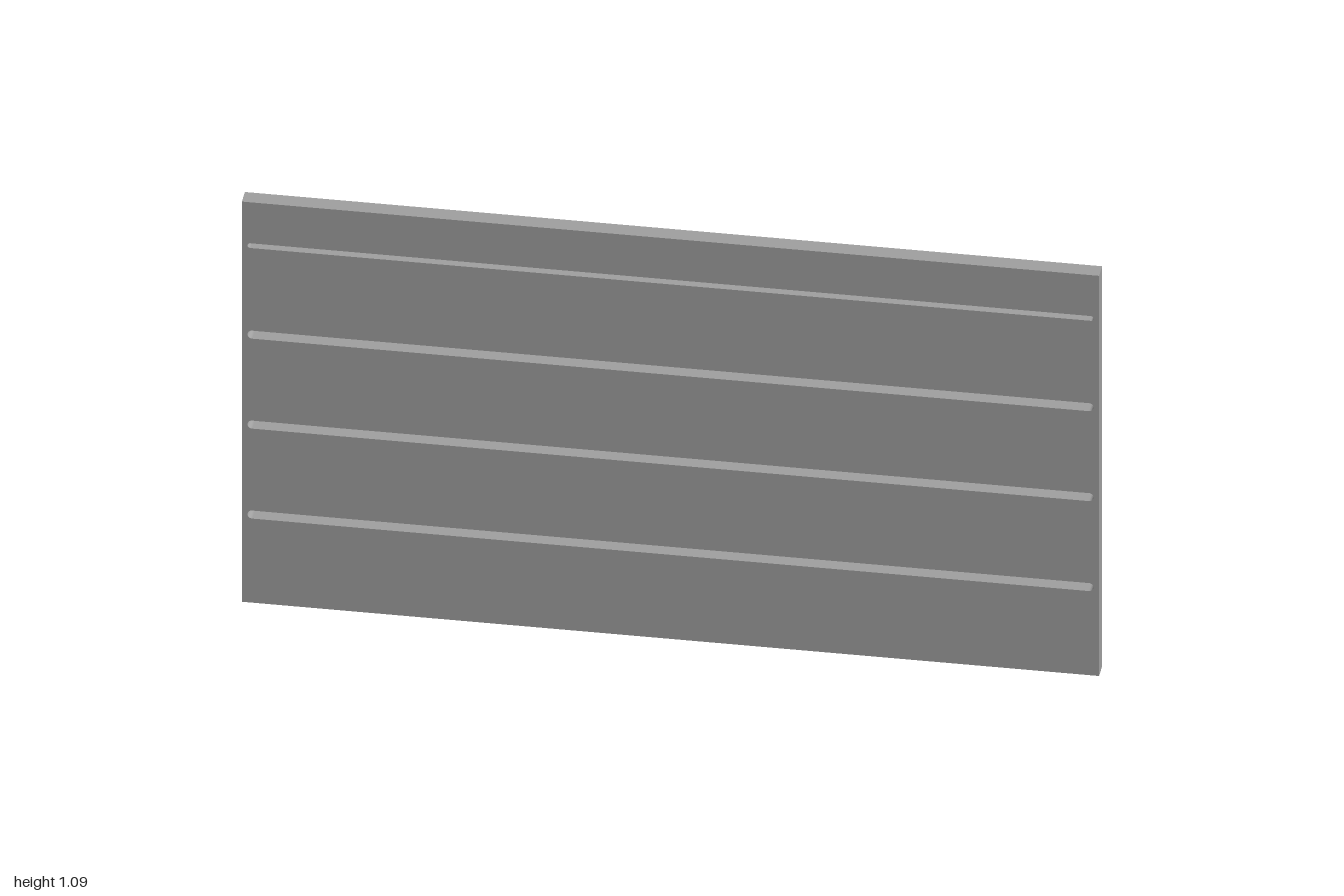
import * as THREE from 'three';

const WIDTH = 2, HEIGHT = 1.09, BACK = -0.021, STEP = -0.013, FRONT = 0.021;

// Round-ended slot outline, centred on x = 0
function slot(y, height, halfLength) {
  const r = height / 2, x = halfLength - r;
  const path = new THREE.Path();
  path.moveTo(-x, y - r);
  path.lineTo(x, y - r);
  path.absarc(x, y, r, -Math.PI / 2, Math.PI / 2, false);
  path.lineTo(-x, y + r);
  path.absarc(-x, y, r, Math.PI / 2, Math.PI * 1.5, false);
  return path;
}

// Rectangular layer of the board with slots cut right through it
function layer(name, z0, z1, slots, material) {
  const w = WIDTH / 2;
  const shape = new THREE.Shape([
    new THREE.Vector2(-w, 0), new THREE.Vector2(w, 0),
    new THREE.Vector2(w, HEIGHT), new THREE.Vector2(-w, HEIGHT),
  ]);
  shape.holes.push(...slots);
  const geometry = new THREE.ExtrudeGeometry(shape, {
    depth: z1 - z0, bevelEnabled: false, curveSegments: 8,
  });
  geometry.translate(0, 0, z0);
  const mesh = new THREE.Mesh(geometry, material);
  mesh.name = name;
  return mesh;
}

export function createModel() {
  const group = new THREE.Group();
  group.name = 'groovedPanel';
  const grey = new THREE.MeshStandardMaterial({ color: 0xa0a0a0 });
  grey.name = 'grey';

  // Front layer: three wide grooves and a narrower one near the top
  const grooves = [0.24, 0.485, 0.73].map((y) => slot(y, 0.022, 0.987));
  grooves.push(slot(0.972, 0.013, 0.987));
  group.add(layer('groovedFront', STEP, FRONT, grooves, grey));

  // Back layer closes the grooves, leaving a thin slit behind the top one
  group.add(layer('slitBack', BACK, STEP, [slot(0.976, 0.004, 0.965)], grey));
  return group;
}
